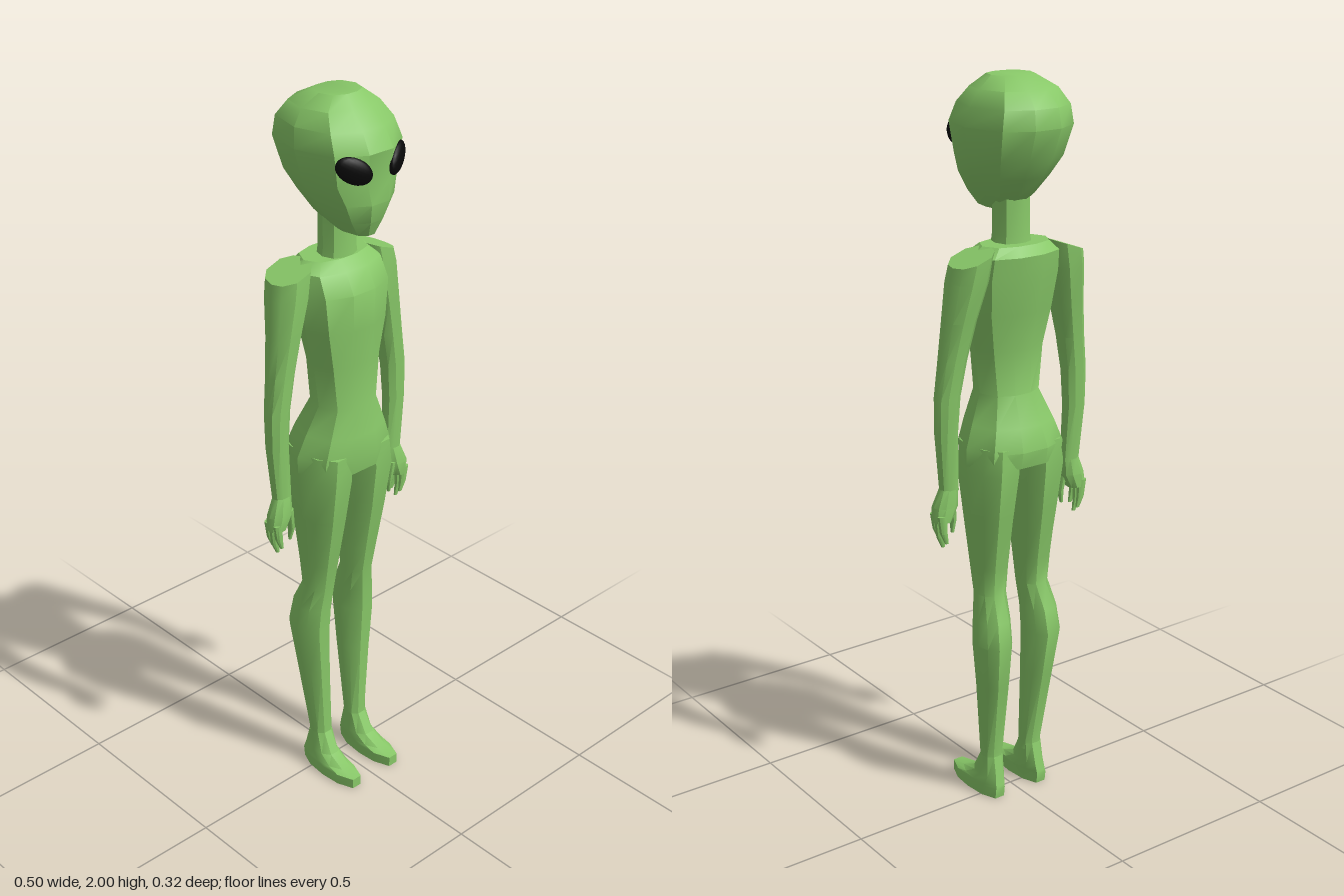
import * as THREE from 'three';
import { toCreasedNormals } from 'three/addons/utils/BufferGeometryUtils.js';

// Half cross-sections from front to back, mirrored into closed rings
const BODY = [[0.28, 1], [0.8, 0.72], [1, 0], [0.78, -0.74], [0.28, -1]];
const LIMB = [[0.4, 1], [0.88, 0.55], [1, 0], [0.85, -0.6], [0.4, -1]];

const skin = new THREE.MeshStandardMaterial({ color: 0x88c868 });
skin.name = 'green skin';
const black = new THREE.MeshStandardMaterial({ color: 0x080808 });
black.name = 'black eye';

// Skin rings listed bottom to top: [y, x0, x1, zBack, zFront, slope of y along x]
function loft(rings, half, crease = 0.6) {
  const unit = [...half, ...half.map(([x, z]) => [-x, z]).reverse()];
  const n = unit.length;
  const pos = [], idx = [];
  for (const [y, x0, x1, zb, zf, slope = 0] of rings) {
    const w = (x1 - x0) / 2, d = (zf - zb) / 2;
    for (const [u, v] of unit) pos.push((x0 + x1) / 2 + u * w, y + slope * u * w, (zb + zf) / 2 + v * d);
  }
  for (let r = 0; r < rings.length - 1; r++) {
    for (let i = 0; i < n; i++) {
      const a = r * n + i, b = r * n + (i + 1) % n;
      idx.push(a, b, b + n, a, b + n, a + n);
    }
  }
  const top = (rings.length - 1) * n;
  for (let i = 1; i < n - 1; i++) idx.push(0, i + 1, i, top, top + i, top + i + 1);
  const g = new THREE.BufferGeometry();
  g.setAttribute('position', new THREE.Float32BufferAttribute(pos, 3));
  g.setIndex(idx);
  return toCreasedNormals(g, crease);
}

// Mirror a ring list to the chosen side
const onSide = (s, rings) => rings.map(([y, x0, x1, zb, zf, k = 0]) =>
  s > 0 ? [y, x0, x1, zb, zf, k] : [y, -x1, -x0, zb, zf, -k]);
// Centred rings: [y, halfWidth, zBack, zFront]
const centred = (rings) => rings.map(([y, w, zb, zf]) => [y, -w, w, zb, zf]);

export function createModel() {
  const model = new THREE.Group();
  model.name = 'alien';
  const add = (name, geometry, material = skin) => {
    const m = new THREE.Mesh(geometry, material);
    m.name = name;
    model.add(m);
    return m;
  };

  // Head: narrow chin, bulging skull
  add('head', loft(centred([
    [1.66, 0.035, -0.01, 0.12],
    [1.7, 0.07, -0.055, 0.137],
    [1.75, 0.1, -0.095, 0.15],
    [1.8, 0.124, -0.128, 0.143],
    [1.88, 0.14, -0.158, 0.152],
    [1.93, 0.13, -0.15, 0.125],
    [1.97, 0.105, -0.115, 0.085],
    [2.0, 0.06, -0.055, 0.05],
  ]), BODY));

  add('neck', loft(centred([
    [1.55, 0.055, -0.05, 0.042],
    [1.6, 0.048, -0.045, 0.038],
    [1.7, 0.048, -0.045, 0.038],
  ]), BODY));

  add('torso', loft(centred([
    [0.995, 0.142, -0.103, 0.103],
    [1.04, 0.143, -0.112, 0.11],
    [1.1, 0.12, -0.092, 0.105],
    [1.18, 0.085, -0.055, 0.093],
    [1.3, 0.1, -0.055, 0.09],
    [1.4, 0.122, -0.072, 0.097],
    [1.5, 0.134, -0.09, 0.098],
    [1.555, 0.13, -0.095, 0.07],
    [1.58, 0.1, -0.075, 0.04],
  ]), BODY));

  for (const s of [1, -1]) {
    const side = s > 0 ? 'left' : 'right';

    // Slanted eye wrapping around the face
    const eye = add(side + 'Eye', new THREE.SphereGeometry(1, 20, 12), black);
    eye.scale.set(0.05, 0.032, 0.016);
    eye.position.set(s * 0.071, 1.844, 0.132);
    eye.rotation.set(0, s * 0.5, s * 0.5, 'YXZ');

    // Arm with a sloping shoulder
    add(side + 'Arm', loft(onSide(s, [
      [0.94, 0.172, 0.226, -0.02, 0.018],
      [1.1, 0.177, 0.24, -0.03, 0.02],
      [1.2, 0.17, 0.24, -0.035, 0.022],
      [1.3, 0.152, 0.227, -0.045, 0.025],
      [1.4, 0.128, 0.215, -0.06, 0.03],
      [1.5, 0.1, 0.205, -0.08, 0.034],
      [1.56, 0.085, 0.197, -0.085, 0.03, -0.36],
    ]), LIMB));

    add(side + 'Palm', loft(onSide(s, [
      [0.86, 0.196, 0.248, -0.024, 0.026],
      [0.9, 0.174, 0.246, -0.025, 0.03],
      [0.95, 0.174, 0.226, -0.02, 0.019],
    ]), LIMB));

    // Three fingers in a row from back to front
    [[-0.016, 0.8], [0.001, 0.785], [0.018, 0.805]].forEach(([z, tip], i) => {
      add(side + 'Finger' + (i + 1), loft(onSide(s, [
        [tip, 0.213, 0.224, z - 0.004, z + 0.004],
        [tip + 0.03, 0.217, 0.238, z - 0.008, z + 0.008],
        [0.88, 0.218, 0.246, z - 0.009, z + 0.009],
      ]), LIMB));
    });

    add(side + 'Thumb', loft(onSide(s, [
      [0.815, 0.178, 0.187, 0.006, 0.014],
      [0.85, 0.17, 0.188, 0.002, 0.022],
      [0.91, 0.175, 0.2, -0.005, 0.026],
    ]), LIMB));

    // Leg with knee and calf
    add(side + 'Leg', loft(onSide(s, [
      [0.1, 0.036, 0.097, -0.032, 0.03],
      [0.13, 0.036, 0.097, -0.03, 0.028],
      [0.35, 0.035, 0.116, -0.07, 0.03],
      [0.48, 0.034, 0.13, -0.09, 0.033],
      [0.55, 0.033, 0.124, -0.077, 0.036],
      [0.62, 0.029, 0.112, -0.046, 0.042],
      [0.7, 0.024, 0.118, -0.055, 0.056],
      [0.85, 0.014, 0.13, -0.08, 0.083],
      [0.98, 0.002, 0.142, -0.1, 0.102],
      [1.05, 0.002, 0.132, -0.095, 0.1],
    ]), LIMB));

    // Foot with a long flat toe
    add(side + 'Foot', loft(onSide(s, [
      [0, 0.035, 0.109, -0.048, 0.157],
      [0.03, 0.035, 0.109, -0.052, 0.157],
      [0.038, 0.035, 0.107, -0.05, 0.11],
      [0.06, 0.035, 0.102, -0.045, 0.06],
      [0.12, 0.036, 0.097, -0.031, 0.029],
    ]), LIMB));
  }
  return model;
}
